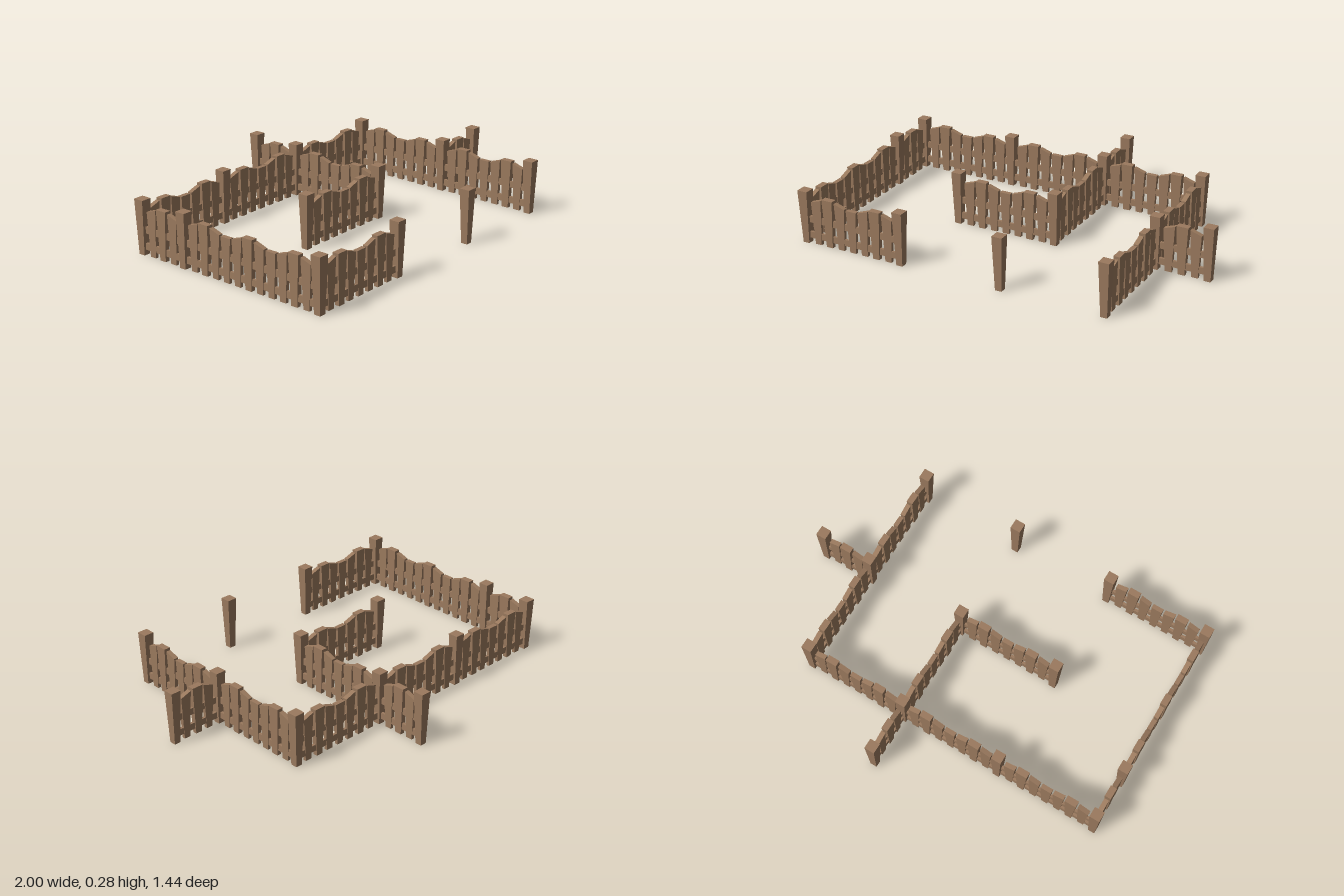
import * as THREE from 'three';

const STEP = 0.06947;              // picket spacing
const X0 = -0.9727, Z0 = -0.6947;  // first post of the layout grid

const wood = new THREE.MeshStandardMaterial({ color: 0x9b7a5e });
wood.name = 'weathered wood';

// Stake that narrows towards the ground; its top may slope from hL (-x) to hR (+x)
function stakeGeometry(topW, topD, botW, botD, hL, hR = hL) {
  const g = new THREE.BoxGeometry(1, 1, 1);
  const p = g.attributes.position;
  for (let i = 0; i < p.count; i++) {
    const x = p.getX(i), z = p.getZ(i), top = p.getY(i) > 0;
    p.setXYZ(i, x * (top ? topW : botW), top ? (x < 0 ? hL : hR) : 0, z * (top ? topD : botD));
  }
  g.computeVertexNormals();
  return g;
}

const postGeo = stakeGeometry(0.055, 0.055, 0.035, 0.035, 0.285);
// Repeating picket pattern: low, rising, tall, falling
const picketGeos = [
  stakeGeometry(0.059, 0.024, 0.035, 0.017, 0.226),
  stakeGeometry(0.06, 0.025, 0.035, 0.017, 0.228, 0.248),
  stakeGeometry(0.062, 0.034, 0.036, 0.023, 0.257),
  stakeGeometry(0.06, 0.025, 0.035, 0.017, 0.248, 0.228),
];
const picketNames = ['lowPicket', 'risingPicket', 'tallPicket', 'fallingPicket'];

function add(parent, name, geo, x, y, z) {
  const m = new THREE.Mesh(geo, wood);
  m.name = name;
  m.position.set(x, y, z);
  parent.add(m);
}

// Straight run of pickets and two rails between posts; cells are picket steps
function fenceRun(i, k, steps, alongZ) {
  const run = new THREE.Group();
  run.name = 'fenceRun';
  run.position.set(X0 + i * STEP, 0, Z0 + k * STEP);
  if (alongZ) run.rotation.y = -Math.PI / 2;
  for (let s = 1; s < steps; s++) {
    add(run, picketNames[s % 4], picketGeos[s % 4], s * STEP, 0, 0);
  }
  const railGeo = new THREE.BoxGeometry(steps * STEP, 0.034, 0.014);
  add(run, 'lowerRail', railGeo, steps * STEP / 2, 0.045, 0);
  add(run, 'upperRail', railGeo, steps * STEP / 2, 0.13, 0);
  return run;
}

export function createModel() {
  const fence = new THREE.Group();
  fence.name = 'picketFence';

  // Runs: column, row, number of steps, along z?
  const runs = [
    [0, 4, 8, false], [8, 4, 8, false], [16, 4, 8, false],  // back wall
    [0, 4, 4, true], [0, 8, 12, true],                      // side wall at -x
    [0, 20, 8, false],                                      // front wall
    [16, 0, 4, true], [16, 4, 8, true], [8, 12, 8, false],  // inner walls
    [24, 4, 8, true], [24, 12, 8, true],                    // side wall at +x
    [24, 12, 4, false],                                     // outer stub
  ];
  for (const r of runs) fence.add(fenceRun(...r));

  // Posts at the corners, joints and free ends, plus one standing alone
  const posts = [
    [0, 4], [8, 4], [16, 4], [24, 4], [0, 8], [0, 20], [8, 20], [16, 20],
    [16, 0], [16, 12], [8, 12], [24, 12], [24, 20], [28, 12],
  ];
  for (const [i, k] of posts) add(fence, 'post', postGeo, X0 + i * STEP, 0, Z0 + k * STEP);

  return fence;
}
